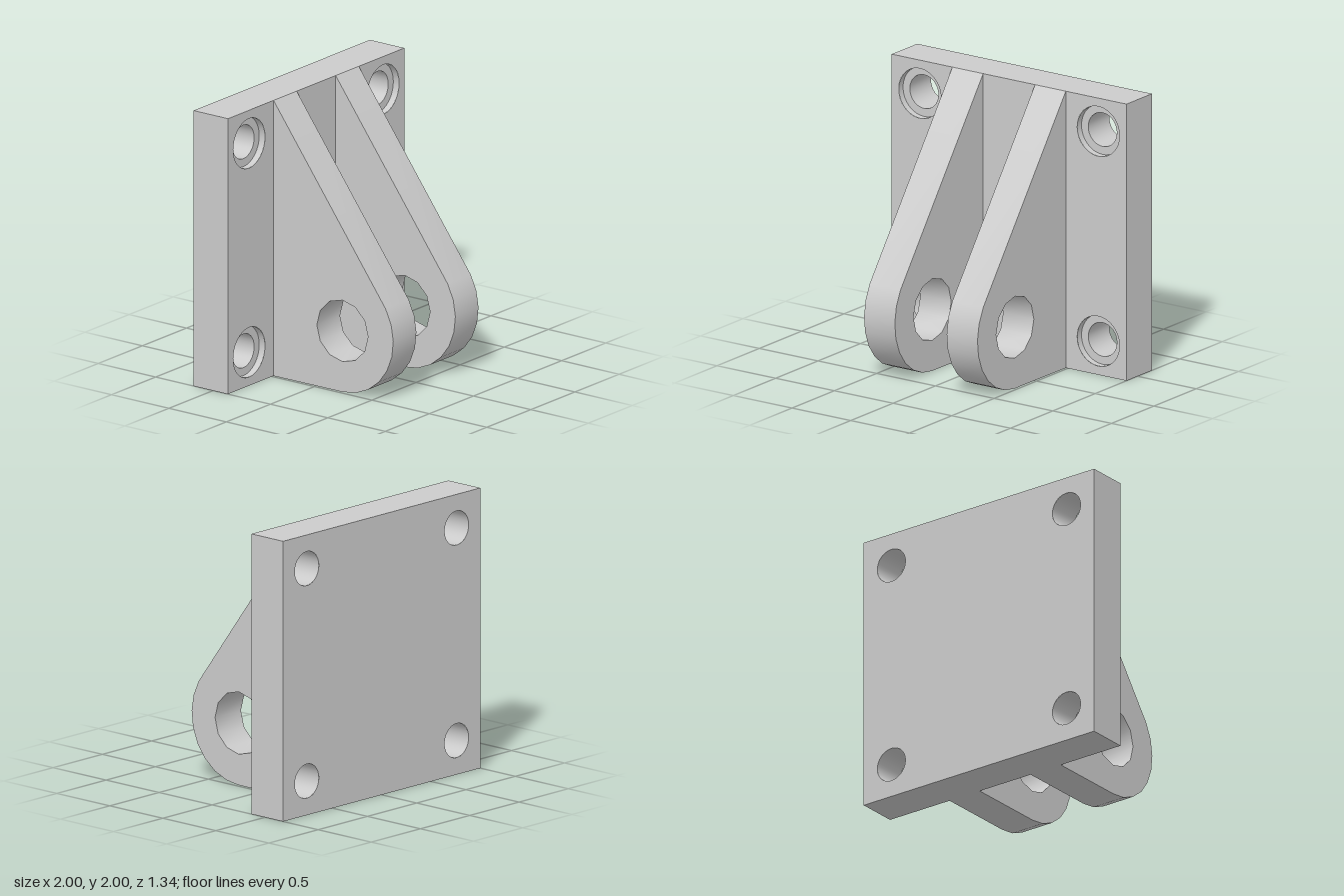
import * as THREE from 'three';
import { mergeGeometries, toCreasedNormals } from 'three/addons/utils/BufferGeometryUtils.js';

const BACK = -0.67, FACE = -0.37;          // plate depth range in z
const BORE = 0.122, SINK = 0.18, SINK_DEPTH = 0.05;
const HOLES = [[-0.76, 0.243], [0.76, 0.243], [-0.76, 1.76], [0.76, 1.76]];

// Points along an arc, angles in degrees
function arcPoints(cx, cy, r, from, to, steps) {
  return Array.from({ length: steps + 1 }, (_, i) => {
    const a = THREE.MathUtils.degToRad(from + (to - from) * i / steps);
    return new THREE.Vector2(cx + r * Math.cos(a), cy + r * Math.sin(a));
  });
}

// Square plate face pierced by four round holes
function plateFace(radius) {
  const shape = new THREE.Shape([[-1, 0], [1, 0], [1, 2], [-1, 2]].map(p => new THREE.Vector2(...p)));
  for (const [x, y] of HOLES) {
    shape.holes.push(new THREE.Path().absarc(x, y, radius, 0, Math.PI * 2, true));
  }
  return new THREE.ShapeGeometry(shape, 32);
}

// Base plate: two faces, the square rim and four stepped bores
function plateGeometry() {
  const depth = FACE - BACK;
  const front = plateFace(SINK).translate(0, 0, FACE);
  const back = plateFace(BORE).rotateY(Math.PI).translate(0, 0, BACK);
  const rim = new THREE.CylinderGeometry(Math.SQRT2, Math.SQRT2, depth, 4, 1, true)
    .rotateY(Math.PI / 4).rotateX(Math.PI / 2).translate(0, 1, (FACE + BACK) / 2);
  const profile = [[SINK, FACE], [SINK, FACE - SINK_DEPTH], [BORE, FACE - SINK_DEPTH], [BORE, BACK]]
    .map(p => new THREE.Vector2(...p));
  const bores = HOLES.map(([x, y]) =>
    new THREE.LatheGeometry(profile, 32).rotateX(Math.PI / 2).translate(x, y, 0));
  return toCreasedNormals(mergeGeometries([front, back, rim, ...bores]), 0.6);
}

// Lug: rounded at the pin hole, tapering up to the top of the plate
function lugGeometry() {
  const thickness = 0.262, cz = 0.23, cy = 0.445;
  const shape = new THREE.Shape([
    new THREE.Vector2(FACE, 0),
    ...arcPoints(cz, cy, 0.443, -90, 32, 8),
    new THREE.Vector2(FACE, 2),
  ]);
  shape.holes.push(new THREE.Path(arcPoints(cz, cy, 0.223, 360, 0, 12)));
  const geometry = new THREE.ExtrudeGeometry(shape, { depth: thickness, bevelEnabled: false })
    .translate(0, 0, -thickness / 2).rotateY(-Math.PI / 2);
  return toCreasedNormals(geometry, 0.6);
}

export function createModel() {
  const group = new THREE.Group();
  group.name = 'clevisBracket';
  const material = new THREE.MeshStandardMaterial({ color: 0xcccccc });

  const plate = new THREE.Mesh(plateGeometry(), material);
  plate.name = 'basePlate';
  group.add(plate);

  const lug = lugGeometry();
  for (const [name, side] of [['leftLug', 1], ['rightLug', -1]]) {
    const mesh = new THREE.Mesh(lug, material);
    mesh.name = name;
    mesh.position.x = side * 0.352;
    group.add(mesh);
  }
  return group;
}
